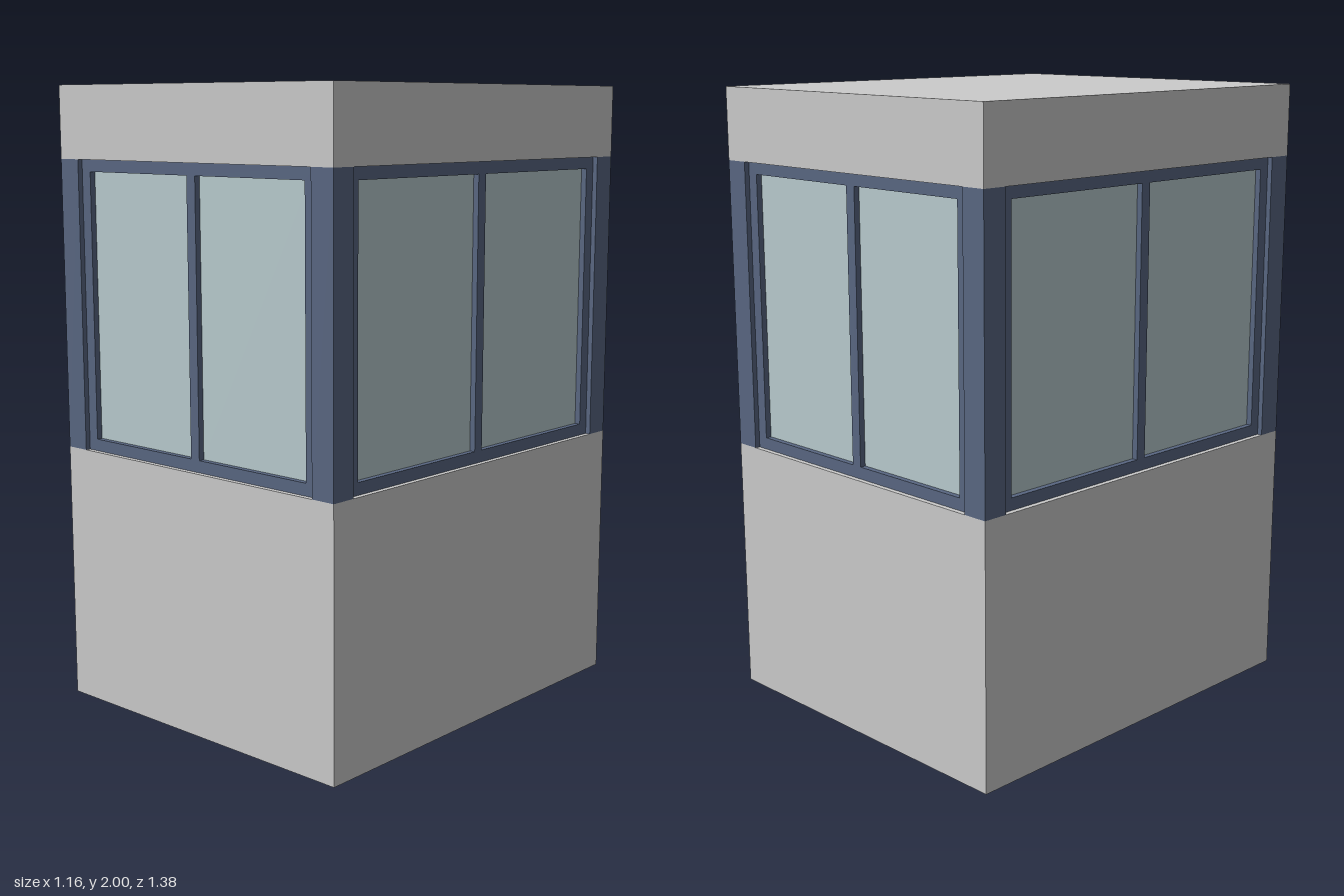
import * as THREE from 'three';

const HX = 0.58, HZ = 0.69, T = 0.083;      // half width, half depth, wall thickness
const SILL = 0.84, HEAD = 1.77, TOP = 2;
const BAR = 0.038, MULLION = 0.036, FRAME_DEPTH = 0.05;

const wallMat = new THREE.MeshStandardMaterial({ color: 0xcccccc });
const frameMat = new THREE.MeshStandardMaterial({ color: 0x596782 });
const glassMat = new THREE.MeshStandardMaterial({ color: 0xb9cccf });

function rect(Type, x0, y0, x1, y1) {
  const p = new Type();
  p.moveTo(x0, y0);
  p.lineTo(x1, y0);
  p.lineTo(x1, y1);
  p.lineTo(x0, y1);
  p.closePath();
  return p;
}

function box(name, mat, w, h, d, x, y, z) {
  const mesh = new THREE.Mesh(new THREE.BoxGeometry(w, h, d), mat);
  mesh.name = name;
  mesh.position.set(x, y, z);
  return mesh;
}

// Two-pane window facing +z, centred on its own thickness
function createWindow(width) {
  const group = new THREE.Group();
  const h = HEAD - SILL, hw = width / 2;
  const shape = rect(THREE.Shape, -hw, 0, hw, h);
  const paneW = hw - BAR - MULLION / 2, paneH = h - 2 * BAR;
  for (const s of [-1, 1]) {
    const cx = s * (MULLION / 2 + paneW / 2);
    shape.holes.push(rect(THREE.Path, cx - paneW / 2, BAR, cx + paneW / 2, h - BAR));
    group.add(box('glassPane', glassMat, paneW, paneH, 0.012, cx, h / 2, 0));
  }
  const geo = new THREE.ExtrudeGeometry(shape, { depth: FRAME_DEPTH, bevelEnabled: false });
  geo.translate(0, 0, -FRAME_DEPTH / 2);
  const frame = new THREE.Mesh(geo, frameMat);
  frame.name = 'windowFrame';
  group.add(frame);
  return group;
}

export function createModel() {
  const model = new THREE.Group();
  model.name = 'booth';

  // Lower walls: a hollow ring, open underneath
  const ring = rect(THREE.Shape, -HX, -HZ, HX, HZ);
  ring.holes.push(rect(THREE.Path, -HX + T, -HZ + T, HX - T, HZ - T));
  const wallGeo = new THREE.ExtrudeGeometry(ring, { depth: SILL, bevelEnabled: false });
  wallGeo.rotateX(-Math.PI / 2);
  const walls = new THREE.Mesh(wallGeo, wallMat);
  walls.name = 'lowerWalls';
  model.add(walls);

  // Flat roof block
  model.add(box('roof', wallMat, 2 * HX, TOP - HEAD, 2 * HZ, 0, (TOP + HEAD) / 2, 0));

  // Corner posts
  for (const sx of [-1, 1]) for (const sz of [-1, 1]) {
    model.add(box('cornerPost', frameMat, T, HEAD - SILL, T,
      sx * (HX - T / 2), (SILL + HEAD) / 2, sz * (HZ - T / 2)));
  }

  // Windows on all four sides, set back between the posts
  ['front', 'left', 'back', 'right'].forEach((side, i) => {
    const along = i % 2 ? HZ : HX, out = i % 2 ? HX : HZ;
    const angle = i * Math.PI / 2;
    const win = createWindow(2 * (along - T));
    win.name = side + 'Window';
    win.rotation.y = angle;
    win.position.set(Math.sin(angle) * (out - T / 2), SILL, Math.cos(angle) * (out - T / 2));
    model.add(win);
  });

  return model;
}
